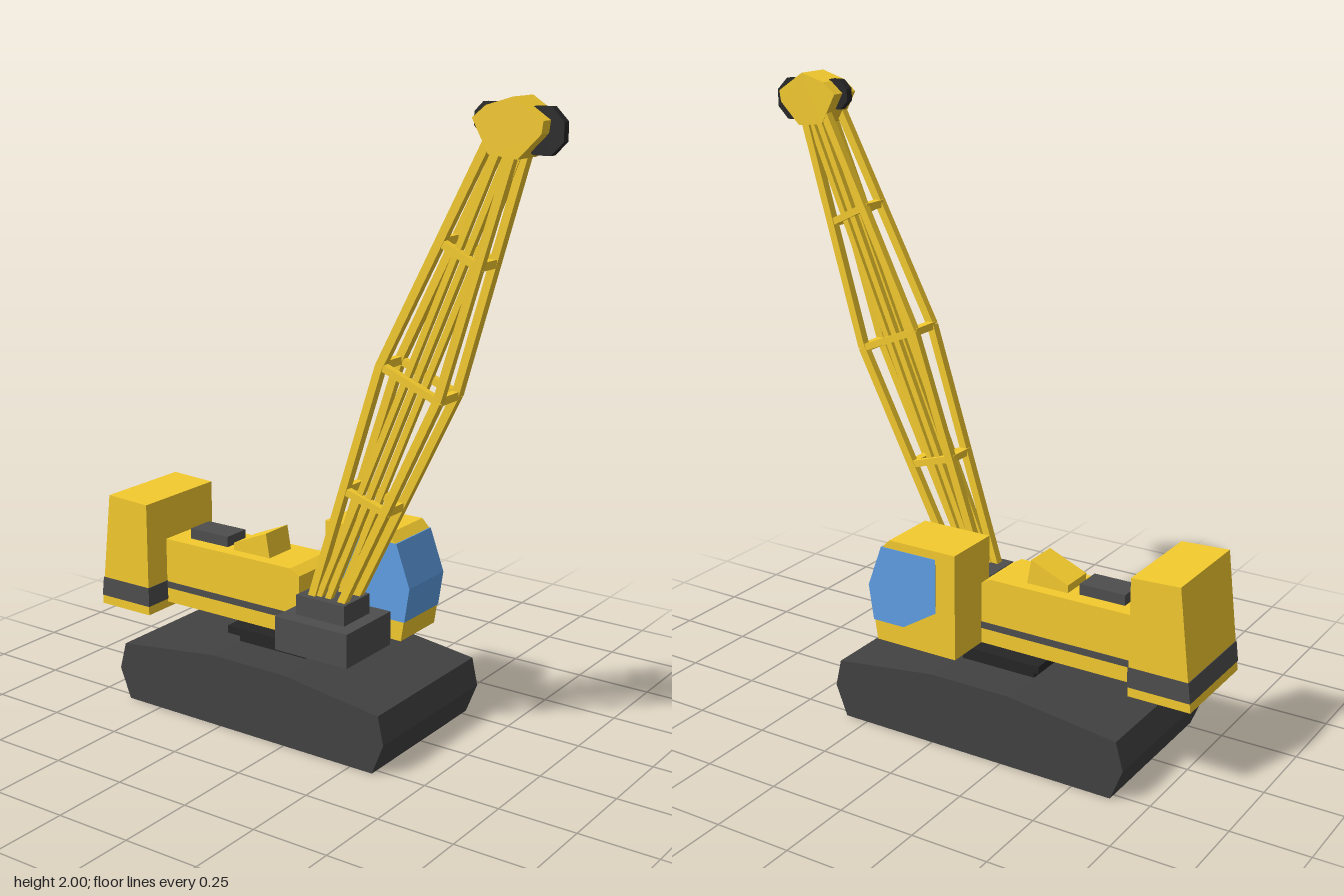
import * as THREE from 'three';

const mat = (color) => new THREE.MeshStandardMaterial({ color, flatShading: true });

export function createModel() {
  const crane = new THREE.Group();
  crane.name = 'crawlerCrane';
  const yellow = mat(0xf5cb2e), dark = mat(0x424242), grey = mat(0x4e4e4e);
  const black = mat(0x262626), glass = mat(0x5f9fe6);

  const add = (name, geometry, material, parent = crane) => {
    const mesh = new THREE.Mesh(geometry, material);
    mesh.name = name;
    parent.add(mesh);
    return mesh;
  };
  // Box given by its limits on each axis
  const box = (name, m, [x0, x1], [y0, y1], [z0, z1]) =>
    add(name, new THREE.BoxGeometry(x1 - x0, y1 - y0, z1 - z0), m)
      .position.set((x0 + x1) / 2, (y0 + y1) / 2, (z0 + z1) / 2);
  // Side profile of [z, y] points, extruded from x0 to x1
  const profile = (name, m, x0, x1, points, parent) => {
    const shape = new THREE.Shape(points.map(([z, y]) => new THREE.Vector2(-z, y)));
    const g = new THREE.ExtrudeGeometry(shape, { depth: x1 - x0, bevelEnabled: false });
    g.rotateY(Math.PI / 2).translate(x0, 0, 0);
    return add(name, g, m, parent);
  };

  // Undercarriage and slewing ring
  profile('crawlerBase', dark, -0.275, 0.275, [[0.33, 0], [0.37, 0.1], [0.35, 0.19], [0, 0.235],
    [-0.28, 0.235], [-0.645, 0.19], [-0.67, 0.1], [-0.63, 0]]);
  box('slewRingLower', black, [-0.13, 0.125], [0.23, 0.265], [-0.28, -0.02]);
  box('slewRingUpper', black, [-0.155, 0.15], [0.265, 0.29], [-0.31, 0.005]);

  // Engine housing
  profile('engineHousing', yellow, -0.1, 0.095, [[-0.065, 0.29], [-0.065, 0.49], [-0.1, 0.51],
    [-0.62, 0.51], [-0.62, 0.29]]);
  box('housingStripe', grey, [-0.102, 0.097], [0.34, 0.362], [-0.61, -0.064]);
  box('roofVent', grey, [-0.05, 0.045], [0.5, 0.545], [-0.545, -0.39]);
  profile('roofHatch', yellow, -0.06, 0.055, [[-0.21, 0.505], [-0.225, 0.59], [-0.355, 0.535], [-0.355, 0.505]]);

  // Counterweight with a wrapped stripe
  profile('counterweight', yellow, -0.195, 0.14, [[-0.61, 0.27], [-0.61, 0.65], [-0.77, 0.657], [-0.815, 0.27]]);
  profile('counterweightStripe', grey, -0.197, 0.142, [[-0.608, 0.3], [-0.608, 0.365], [-0.806, 0.365], [-0.814, 0.3]]);

  // Cab
  profile('cab', yellow, 0.05, 0.248, [[-0.07, 0.29], [-0.07, 0.635], [0.17, 0.635], [0.2, 0.605],
    [0.248, 0.47], [0.22, 0.29]]);
  profile('cabGlass', glass, 0.048, 0.25, [[0, 0.43], [0, 0.608], [0.201, 0.608], [0.251, 0.47],
    [0.233, 0.355], [0.12, 0.355]]);

  // Boom pedestal
  box('pedestalLower', grey, [-0.22, 0.02], [0.285, 0.395], [-0.07, 0.2]);
  box('pedestalUpper', grey, [-0.17, -0.03], [0.395, 0.46], [-0.025, 0.155]);

  // Lattice boom
  const boom = new THREE.Group();
  boom.name = 'boom';
  boom.position.x = -0.097;
  crane.add(boom);
  const bar = (name, a, b, t) => {
    const from = new THREE.Vector3(...a), to = new THREE.Vector3(...b);
    const mesh = add(name, new THREE.BoxGeometry(t, t, from.distanceTo(to)), yellow, boom);
    mesh.position.copy(from).add(to).multiplyScalar(0.5);
    mesh.lookAt(to.clone().add(boom.position));
  };
  // Chord nodes [half width, y, z] from foot to head
  const front = [[0.04, 0.43, 0.115], [0.052, 1.14, 0.466], [0.04, 1.87, 0.685]];
  const rear = [[0.04, 0.43, 0.01], [0.052, 1.22, 0.27], [0.04, 1.89, 0.61]];
  const mirror = ([x, y, z], s) => [x * s, y, z];
  for (const s of [-1, 1]) {
    for (const chord of [front, rear])
      for (let i = 0; i < 2; i++) bar('boomChord', mirror(chord[i], s), mirror(chord[i + 1], s), 0.026);
    for (const d of [-0.017, 0.017])
      bar('boomInnerRod', [s * 0.035, 0.43, 0.045 + d], [s * 0.035, 1.87, 0.655 + d], 0.02);
  }
  // Point on a chord at a given height
  const at = (chord, y) => {
    const i = y < chord[1][1] ? 0 : 1, [a, b] = [chord[i], chord[i + 1]];
    const t = (y - a[1]) / (b[1] - a[1]);
    return a.map((v, k) => v + (b[k] - v) * t);
  };
  for (const [yf, yr] of [[0.775, 0.82], [1.14, 1.22], [1.535, 1.595]]) {
    const f = at(front, yf), r = at(rear, yr);
    for (const p of [f, r]) bar('boomRung', mirror(p, -1), p, 0.024);
    for (const s of [-1, 1]) bar('boomSideBrace', mirror(f, s), mirror(r, s), 0.022);
  }

  // Boom head and sheaves
  profile('boomHead', yellow, -0.055, 0.055, [[0.683, 2], [0.775, 1.94], [0.77, 1.905], [0.7, 1.835],
    [0.61, 1.845], [0.558, 1.94], [0.6, 1.975]], boom);
  for (const [name, r, y, z] of [['frontSheave', 0.07, 1.91, 0.75], ['rearSheave', 0.05, 1.935, 0.587]]) {
    const g = new THREE.CylinderGeometry(r, r, 0.026, 8).rotateZ(Math.PI / 2).rotateX(Math.PI / 8);
    add(name, g, black, boom).position.set(0, y, z);
  }
  return crane;
}
